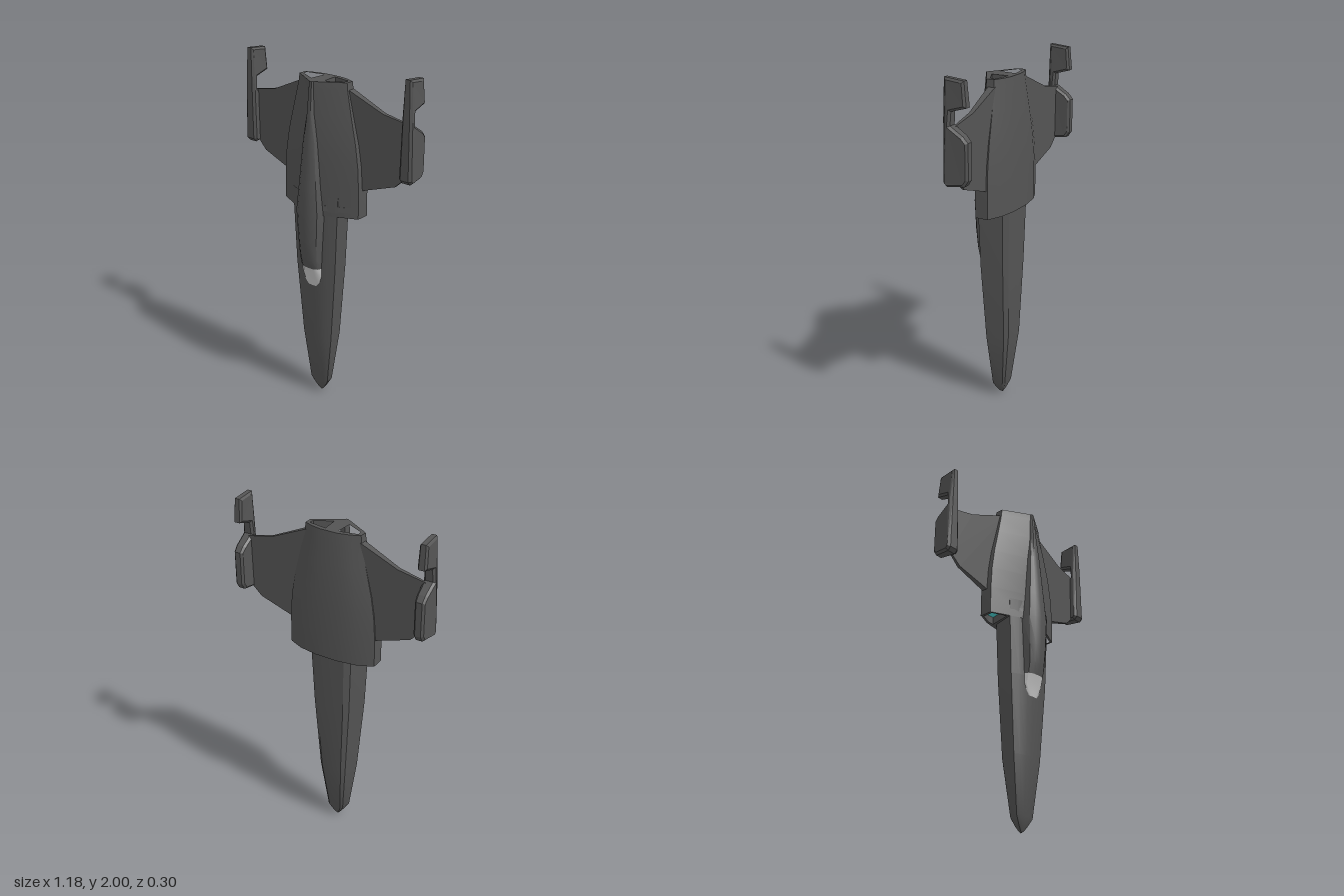
import * as THREE from 'three';
import { toCreasedNormals } from 'three/addons/utils/BufferGeometryUtils.js';

const material = (name, color, side = THREE.FrontSide) => {
  const m = new THREE.MeshStandardMaterial({ color, side });
  m.name = name;
  return m;
};
const hullGrey = material('hull grey', 0x545454);
const glass = material('canopy glass', 0xc8c8c8);
const glow = material('engine cyan', 0x4dd6d6, THREE.DoubleSide);

function add(group, name, geometry, mat) {
  const mesh = new THREE.Mesh(geometry, mat);
  mesh.name = name;
  group.add(mesh);
  return mesh;
}

// Full outline from half an outline that runs front centre, side, back centre
const fullRing = half => [...half, ...half.slice(1, -1).reverse().map(([x, z]) => [-x, z])];

// Skin over sections of the form { y, half }
function loft(sections, crease = 0.45) {
  const rings = sections.map(s => fullRing(s.half));
  const n = rings[0].length, pos = [], index = [];
  rings.forEach((r, j) => r.forEach(([x, z]) => pos.push(x, sections[j].y, z)));
  for (let j = 0; j < rings.length - 1; j++) {
    for (let i = 0; i < n; i++) {
      const a = j * n + i, b = j * n + (i + 1) % n;
      index.push(a, b, a + n, b, b + n, a + n);
    }
  }
  const g = new THREE.BufferGeometry();
  g.setAttribute('position', new THREE.Float32BufferAttribute(pos, 3));
  g.setIndex(index);
  return toCreasedNormals(g, crease);
}

const toShape = pts => new THREE.Shape(pts.map(([x, y]) => new THREE.Vector2(x, y)));

// Hull outline at one station
const hullHalf = ([y, w, inner, t]) => {
  const mix = (a, b) => a + (b - a) * t;
  return {
    y,
    half: [[0, mix(0.095, 0.085)], [inner, mix(0.09, 0.08)], [w, mix(0.005, -0.01)],
      [w, mix(-0.07, -0.055)], [w * 0.68, mix(-0.107, -0.077)],
      [mix(0.07, 0.05), mix(-0.125, -0.09)], [0, mix(-0.125, -0.09)]],
  };
};

// End plate with two deep openings and a glowing panel at the bottom of each
function openings(group, name, outline, hole, yTop, depth, yGlow) {
  const plate = toShape(fullRing(outline));
  for (const s of [1, -1]) {
    const pts = hole.map(([x, z]) => [x * s, z]);
    plate.holes.push(toShape(pts));
    const panel = new THREE.ShapeGeometry(toShape(pts)).rotateX(Math.PI / 2);
    add(group, name + 'Glow', panel, glow).position.y = yGlow;
  }
  const g = new THREE.ExtrudeGeometry(plate, { depth, bevelEnabled: false }).rotateX(Math.PI / 2);
  add(group, name + 'Frame', g, hullGrey).position.y = yTop;
}

// Canopy or spine section: half width, crest height and base height
const crest = ([y, w, top, base]) => ({
  y,
  half: [[0, top], [w * 0.5, top - (top - base) * 0.05], [w * 0.83, top - (top - base) * 0.35],
    [w, base], [w * 0.7, base - 0.03], [0, base - 0.03]],
});

export function createModel() {
  const model = new THREE.Group();

  // Long tapering nose: y, half width, front z, back z
  const nose = [[0, 0, 0, -0.01], [0.012, 0.015, 0.007, -0.018], [0.035, 0.033, 0.018, -0.03],
    [0.08, 0.062, 0.036, -0.048], [0.4, 0.105, 0.066, -0.088], [0.85, 0.142, 0.087, -0.102],
    [1.3, 0.163, 0.095, -0.112]];
  const noseSections = nose.map(([y, w, f, b]) => ({
    y,
    half: [[0, f], [w * 0.35, f * 0.97], [w * 0.7, f * 0.82], [w, f * 0.58], [w * 0.8, b * 0.74],
      [w * 0.6, b * 0.95], [0, b]],
  }));
  add(model, 'noseFuselage', loft(noseSections), hullGrey);

  // Wide engine hull
  const stations = [[1.19, 0.265, 0.085, 0], [1.35, 0.264, 0.07, 0], [1.48, 0.255, 0.055, 0.08],
    [1.6, 0.236, 0.045, 0.2], [1.75, 0.2, 0.025, 0.5], [1.88, 0.17, 0.02, 0.88], [1.92, 0.165, 0.02, 1]];
  const hull = stations.map(hullHalf);
  add(model, 'engineHull', loft(hull), hullGrey);

  // Exhausts at the top and air intakes at the bottom
  openings(model, 'exhaust', hull[6].half,
    [[0.038, -0.066], [0.145, -0.046], [0.141, -0.018], [0.045, 0.032]], 1.92, 0.1, 1.825);
  openings(model, 'intake', hull[0].half.map(([x, z]) => [x * 0.99, z * 0.99]),
    [[0.165, 0.037], [0.248, -0.001], [0.248, -0.063], [0.178, -0.092], [0.142, -0.092]], 1.25, 0.059, 1.235);

  // Canopy glass, canopy shell and spine
  const rim = [0.86, 0.07, 0.118, 0.075];
  const glassRows = [[0.74, 0.035, 0.084, 0.076], [0.765, 0.055, 0.089, 0.075], [0.81, 0.07, 0.1, 0.072], rim];
  add(model, 'canopyGlass', loft(glassRows.map(crest), 0.7), glass);
  const spineRows = [rim, [0.92, 0.073, 0.135, 0.075], [1.03, 0.079, 0.145, 0.078], [1.2, 0.09, 0.15, 0.08],
    [1.35, 0.073, 0.139, 0.08], [1.6, 0.048, 0.119, 0.08], [1.75, 0.024, 0.106, 0.075],
    [1.92, 0.016, 0.09, 0.07]].map(crest);
  spineRows.push({ y: 1.92, half: spineRows[7].half.map(() => [0, 0.07]) });
  add(model, 'canopySpine', loft(spineRows, 0.6), hullGrey);

  const wingOutline = [[0.13, 1.89], [0.17, 1.88], [0.38, 1.79], [0.535, 1.76], [0.535, 1.48],
    [0.51, 1.455], [0.465, 1.413], [0.265, 1.347], [0.13, 1.32]];
  const podOutline = [[-0.012, 2], [-0.125, 1.99], [-0.138, 1.86], [-0.052, 1.835], [-0.047, 1.765],
    [-0.12, 1.72], [-0.147, 1.69], [-0.147, 1.5], [-0.125, 1.467], [-0.025, 1.455], [-0.006, 1.475], [-0.008, 1.8]];

  for (const s of [1, -1]) {
    const side = s > 0 ? 'left' : 'right';

    // Wing, thinning towards its tip
    const wing = new THREE.ExtrudeGeometry(toShape(wingOutline.map(([x, y]) => [x * s, y])),
      { depth: 1, bevelEnabled: false });
    const wp = wing.attributes.position;
    for (let i = 0; i < wp.count; i++) {
      const t = (Math.abs(wp.getX(i)) - 0.13) / 0.405;
      wp.setZ(i, -0.061 + wp.getZ(i) * (0.045 - 0.033 * t));
    }
    wing.computeVertexNormals();
    add(model, side + 'Wing', wing, hullGrey);

    // Wing tip pod with a raised fin, narrowing to the top and the back
    const pod = new THREE.ExtrudeGeometry(toShape(podOutline), {
      depth: 0.05, bevelThickness: 0.015, bevelSize: 0.012, bevelOffset: -0.012, bevelSegments: 1,
    }).translate(0, 0, -0.025).rotateY(-Math.PI / 2);
    const pp = pod.attributes.position;
    for (let i = 0; i < pp.count; i++) {
      const y = pp.getY(i), z = pp.getZ(i);
      const up = Math.max(0, (y - 1.62) / 0.38), back = Math.max(0, (-z - 0.05) / 0.1);
      pp.setX(i, s * (0.549 - 0.004 * up) + pp.getX(i) * (1 - 0.45 * up) * (1 - 0.35 * back * (1 - up)));
    }
    pod.computeVertexNormals();
    add(model, side + 'Pod', pod, hullGrey);
  }
  return model;
}
